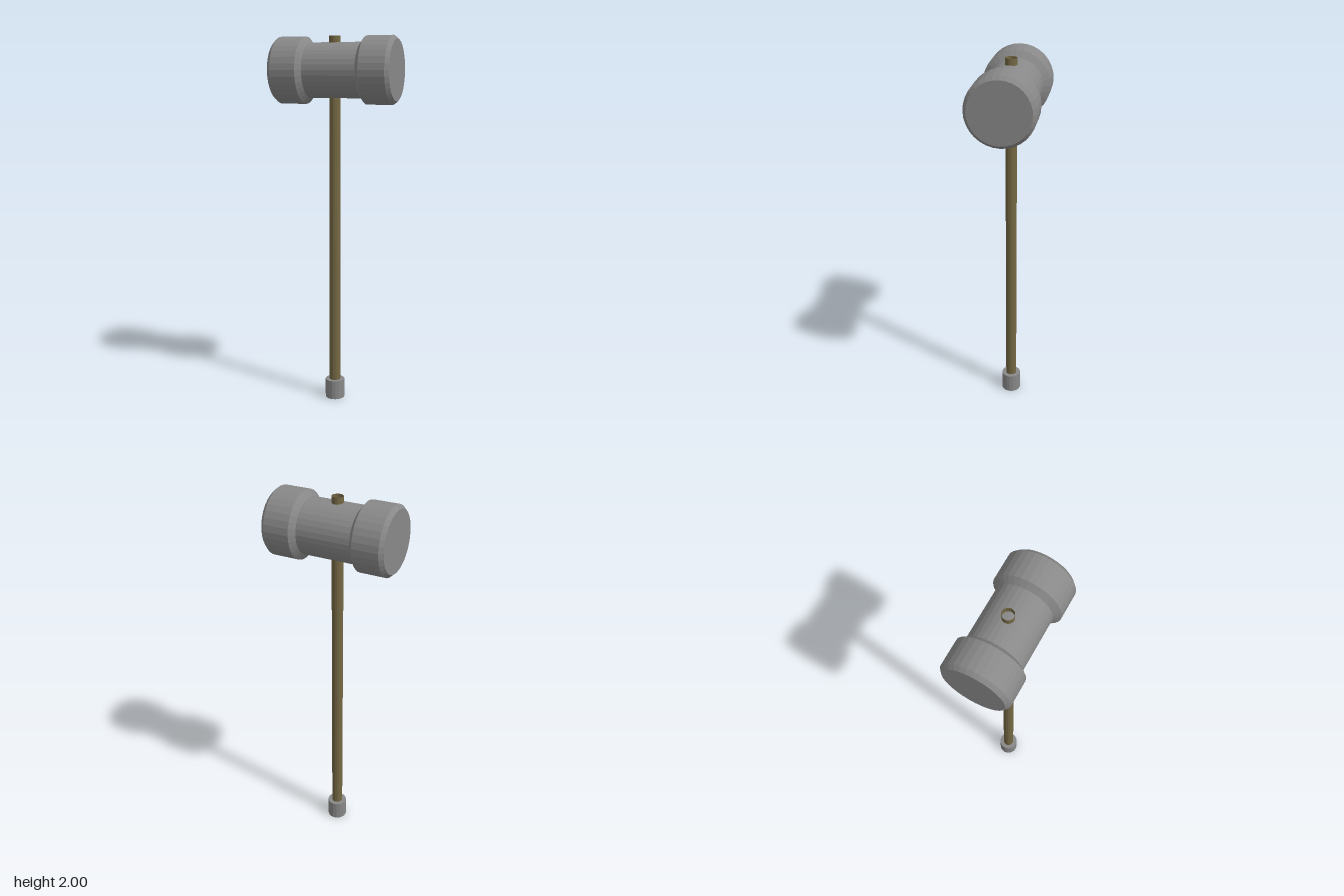
import * as THREE from 'three';

const SIDES = 32;
const HEAD_Y = 1.823;
const SHAFT_X = -0.01;

export function createModel() {
  const model = new THREE.Group();
  model.name = 'mallet';
  const metal = new THREE.MeshStandardMaterial({ color: 0x888888, flatShading: true });
  const wood = new THREE.MeshStandardMaterial({
    color: 0x746743, flatShading: true, side: THREE.DoubleSide,
  });

  const add = (name, geometry, material, x, y) => {
    const mesh = new THREE.Mesh(geometry, material);
    mesh.name = name;
    mesh.position.set(x, y, 0);
    model.add(mesh);
  };

  // Head: half profile [radius, distance from middle], mirrored along the axis
  const half = [[0.145, 0.145], [0.177, 0.17], [0.177, 0.31], [0.159, 0.33], [0, 0.33]];
  const profile = [
    ...half.map(([r, d]) => new THREE.Vector2(r, -d)).reverse(),
    ...half.map(([r, d]) => new THREE.Vector2(r, d)),
  ];
  const headGeometry = new THREE.LatheGeometry(profile, SIDES);
  headGeometry.rotateZ(Math.PI / 2);
  add('head', headGeometry, metal, 0, HEAD_Y);

  // Handle: open tube through the head, standing slightly proud of its waist
  add('handle', new THREE.CylinderGeometry(0.03, 0.03, 1.95, 16, 1, true), wood, SHAFT_X, 1.025);

  // Pommel: cap around the foot of the handle
  add('pommel', new THREE.CylinderGeometry(0.053, 0.053, 0.106, 16), metal, SHAFT_X, 0.053);

  return model;
}
